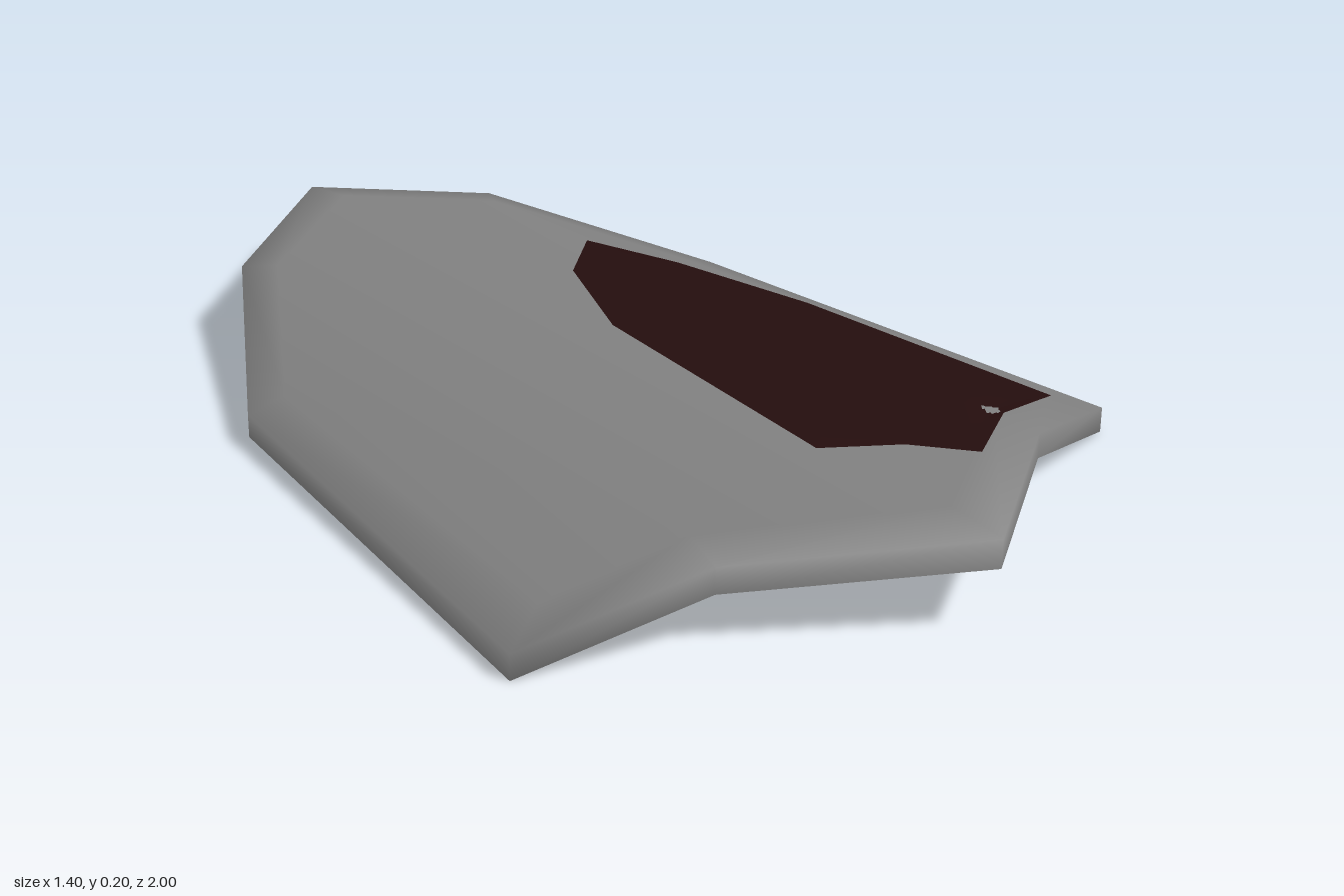
import * as THREE from 'three';

const steel = new THREE.MeshStandardMaterial({ color: 0x808080 });
steel.name = 'grey steel';
const leather = new THREE.MeshStandardMaterial({ color: 0x240d0d, side: THREE.DoubleSide });
leather.name = 'dark brown leather';

// Half outlines from front tip to back tip, as [x, y, z]
const bottomHalf = [[0, 0.13, 1], [0.38, 0.1, 0.73], [0.7, 0, 0.6], [0.57, 0.015, -0.37], [0.31, 0.1, -0.79], [0, 0.13, -1]];
const outerY = [0.185, 0.15, 0.05, 0.06, 0.15, 0.178];
const outerHalf = bottomHalf.map(([x, , z], i) => [x, outerY[i], z]);
const innerHalf = [[0, 0.196, 0.88], [0.36, 0.165, 0.64], [0.6, 0.087, 0.55], [0.5, 0.087, -0.35], [0.27, 0.165, -0.72], [0, 0.196, -0.88]];

// Mirror a half outline into a closed ring of ten points
const ring = (half) => [...half, ...half.slice(1, 5).reverse().map(([x, y, z]) => [-x, y, z])];

// Bent panels that span a ring: two each side of the centre ridge
const panels = [[0, 1, 4, 5], [1, 2, 3, 4], [0, 5, 6, 9], [9, 6, 7, 8]];

function mesh(name, points, index, material) {
  const g = new THREE.BufferGeometry();
  g.setAttribute('position', new THREE.Float32BufferAttribute(points.flat(), 3));
  g.setIndex(index);
  g.computeVertexNormals();
  const m = new THREE.Mesh(g, material);
  m.name = name;
  return m;
}

// Outer wall, sloping rim and top panels, smoothly shaded together
function plate() {
  const points = [bottomHalf, outerHalf, innerHalf].flatMap(ring);
  const index = [];
  for (let r = 0; r < 2; r++) {
    for (let i = 0; i < 10; i++) {
      const a = r * 10 + i, b = r * 10 + (i + 1) % 10;
      index.push(a, b, b + 10, a, b + 10, a + 10);
    }
  }
  for (const [a, b, c, d] of panels) index.push(a + 20, b + 20, c + 20, a + 20, c + 20, d + 20);
  return mesh('shieldPlate', points, index, steel);
}

// Concave underside
function lining() {
  const index = panels.flatMap(([a, b, c, d]) => [a, c, b, a, d, c]);
  return mesh('undersideLining', ring(bottomHalf), index, leather);
}

// Height of the top panels
function topHeight(x, z) {
  const ax = Math.abs(x);
  const fold = 0.27 + (z + 0.72) * 0.066;
  const edge = 0.5 + (z + 0.35) * 0.111;
  if (ax < fold) return 0.196 - 0.031 * ax / fold;
  return 0.165 - 0.078 * (ax - fold) / (edge - fold);
}

// Thin pointed patch laid over the top, offset to the left side
function patch() {
  const left = [[-0.42, 0.28], [-0.29, 0.14], [-0.02, 0.02], [0.59, -0.03], [0.67, 0.11], [0.76, 0.2]];
  const right = [[-0.42, 0.28], [-0.3, 0.42], [-0.04, 0.54], [0.56, 0.6], [0.66, 0.36], [0.76, 0.2]];
  const at = (line, z) => {
    let i = 0;
    while (i < line.length - 2 && z > line[i + 1][0]) i++;
    const [z0, x0] = line[i], [z1, x1] = line[i + 1];
    return x0 + (x1 - x0) * (z - z0) / (z1 - z0);
  };
  const rows = [...new Set([...left, ...right].map((p) => p[0]))].sort((a, b) => a - b);
  const cols = 20, points = [], index = [];
  rows.forEach((z, r) => {
    const x0 = at(left, z), x1 = at(right, z);
    for (let c = 0; c <= cols; c++) {
      const x = x0 + (x1 - x0) * c / cols;
      points.push([x, topHeight(x, z) + 0.004, z]);
      if (r && c) {
        const d = r * (cols + 1) + c, b = d - cols - 1;
        index.push(b - 1, d - 1, d, b - 1, d, b);
      }
    }
  });
  return mesh('topPatch', points, index, leather);
}

export function createModel() {
  const group = new THREE.Group();
  group.name = 'shield';
  group.add(plate(), lining(), patch());
  return group;
}
